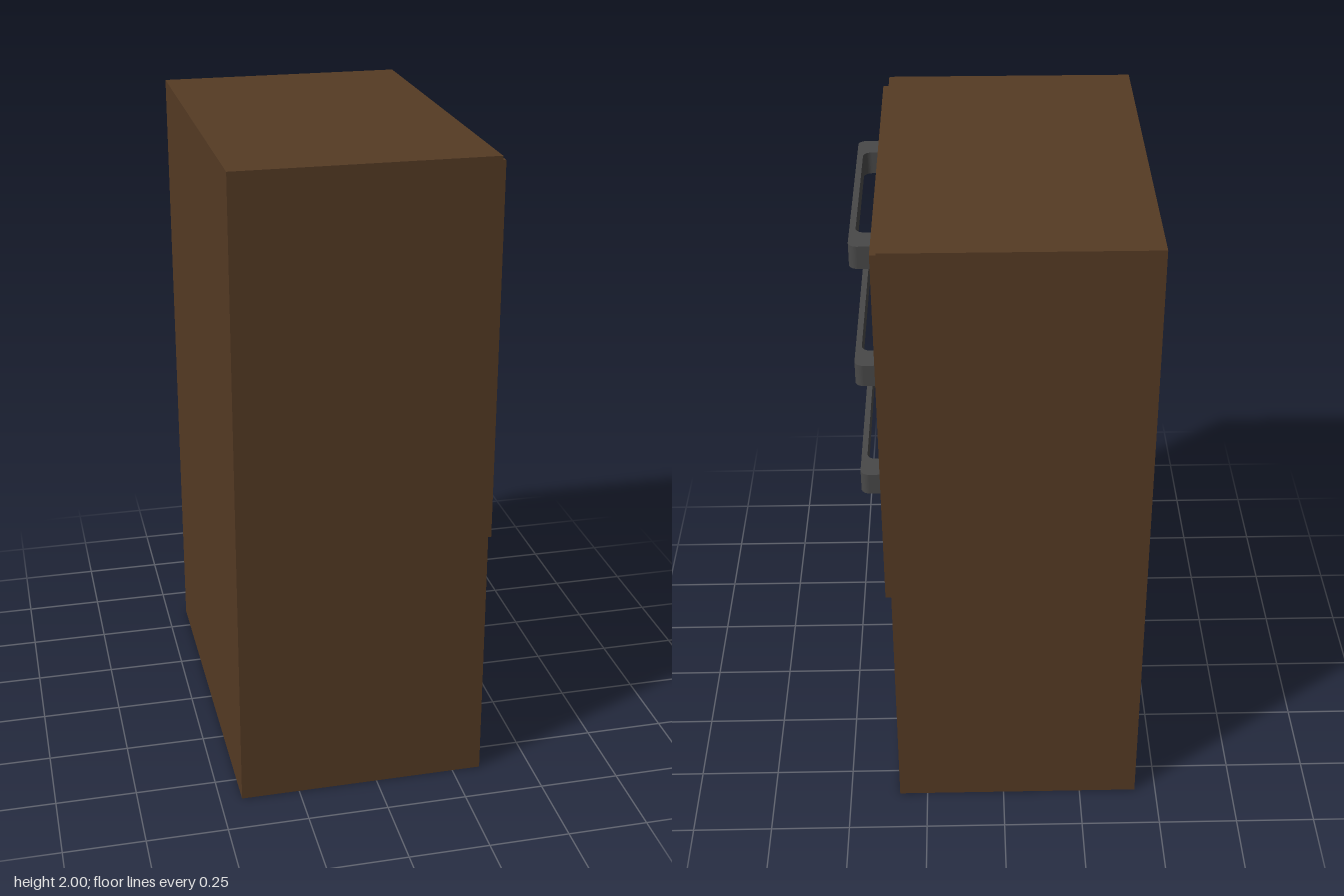
import * as THREE from 'three';

export function createModel() {
  const wood = new THREE.MeshStandardMaterial({ color: 0x553b24 });
  wood.name = 'dark wood';
  const metal = new THREE.MeshStandardMaterial({ color: 0x484848 });
  metal.name = 'dark grey metal';

  const model = new THREE.Group();
  model.name = 'drawerCabinet';

  const box = (name, x0, x1, y0, y1, z0, z1) => {
    const mesh = new THREE.Mesh(new THREE.BoxGeometry(x1 - x0, y1 - y0, z1 - z0), wood);
    mesh.name = name;
    mesh.position.set((x0 + x1) / 2, (y0 + y1) / 2, (z0 + z1) / 2);
    model.add(mesh);
  };

  // Cabinet body and the raised panel on its left side
  box('cabinetBody', -0.432, 0.34, 0, 2, -0.604, 0.604);
  box('drawerPanel', 0.34, 0.359, 0.81, 1.98, -0.576, 0.576);

  // Bracket handle: rounded C outline in plan, extruded upward
  const base = 0.359, outer = 0.432, inner = 0.414;
  const half = 0.354, gap = 0.268, r = 0.026;
  const outline = new THREE.Shape();
  outline.moveTo(base, -half);
  outline.lineTo(outer - r, -half);
  outline.absarc(outer - r, -half + r, r, -Math.PI / 2, 0, false);
  outline.absarc(outer - r, half - r, r, 0, Math.PI / 2, false);
  outline.lineTo(base, half);
  outline.lineTo(base, gap);
  outline.lineTo(inner - r, gap);
  outline.absarc(inner - r, gap - r, r, Math.PI / 2, 0, true);
  outline.absarc(inner - r, -gap + r, r, 0, -Math.PI / 2, true);
  outline.lineTo(base, -gap);
  outline.closePath();

  const handleGeometry = new THREE.ExtrudeGeometry(outline, {
    depth: 0.07, bevelEnabled: false, curveSegments: 8,
  });
  handleGeometry.rotateX(-Math.PI / 2);

  // Three evenly spaced handles
  for (let i = 0; i < 3; i++) {
    const handle = new THREE.Mesh(handleGeometry, metal);
    handle.name = `handle${i + 1}`;
    handle.position.y = 1.04 + i * 0.39;
    model.add(handle);
  }

  return model;
}
